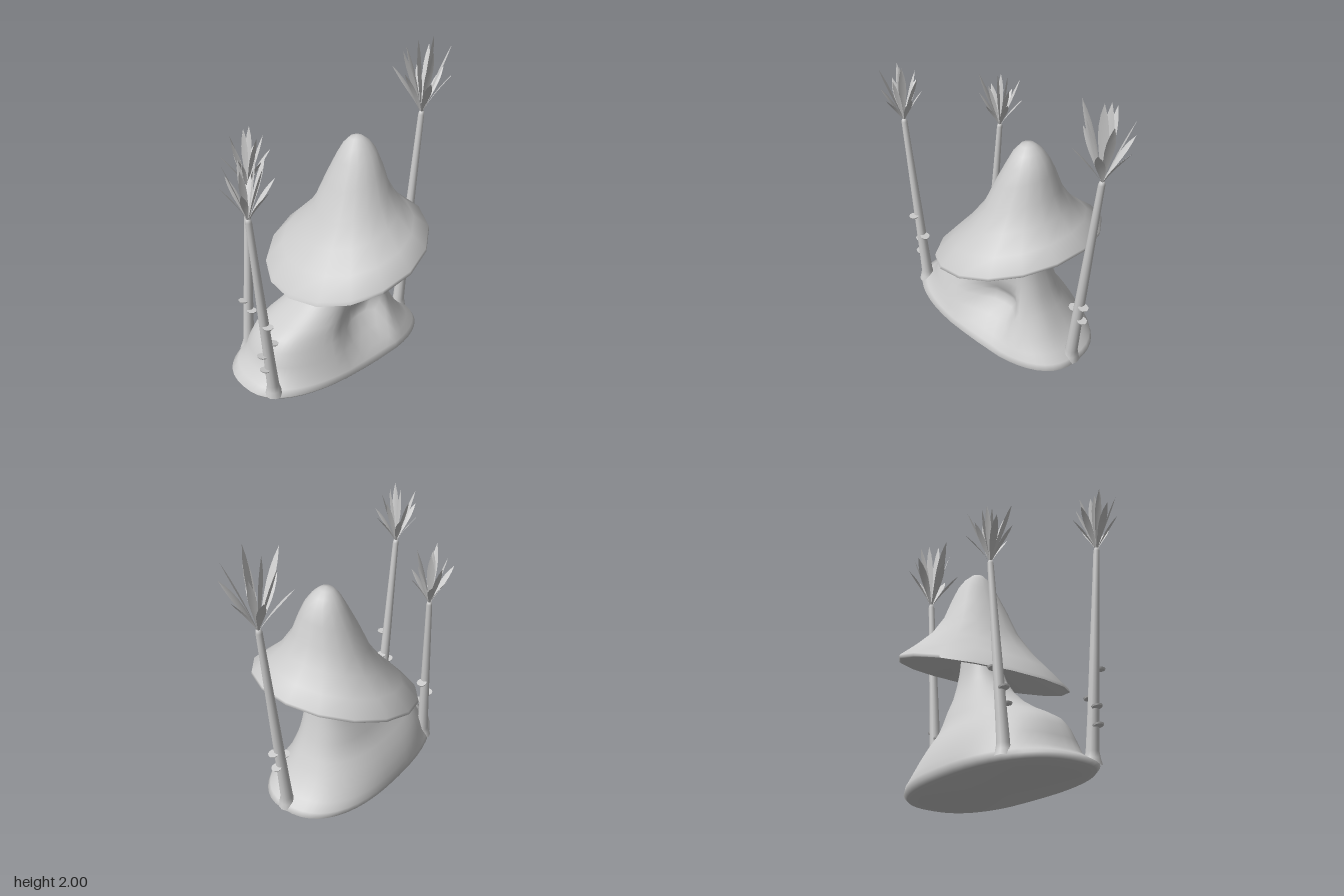
import * as THREE from 'three';
import { toCreasedNormals } from 'three/addons/utils/BufferGeometryUtils.js';

const grey = new THREE.MeshStandardMaterial({ color: 0xcccccc });
const greyThin = new THREE.MeshStandardMaterial({ color: 0xcccccc, side: THREE.DoubleSide });

// Skin a stack of closed rings, each [leftX, leftY, rightX, rightY, frontZ, backZ, centreZ].
function loft(rings, sides, { power = 1, turn = 0, adjust = null } = {}) {
  const pos = [], index = [];
  rings.forEach(([lx, ly, rx, ry, front, back, cz = 0], i) => {
    for (let j = 0; j < sides; j++) {
      const a = turn + (j / sides) * Math.PI * 2;
      const c = Math.sign(Math.cos(a)) * Math.abs(Math.cos(a)) ** power;
      const s = Math.sign(Math.sin(a)) * Math.abs(Math.sin(a)) ** power;
      const p = new THREE.Vector3(
        (lx + rx) / 2 + ((rx - lx) / 2) * c,
        (ly + ry) / 2 + ((ry - ly) / 2) * c,
        cz + s * (s > 0 ? front : back));
      if (adjust) adjust(p, s);
      pos.push(p.x, p.y, p.z);
      if (i < rings.length - 1) {
        const k = (j + 1) % sides, o = i * sides, n = o + sides;
        index.push(o + j, n + j, o + k, o + k, n + j, n + k);
      }
    }
  });
  const g = new THREE.BufferGeometry();
  g.setAttribute('position', new THREE.Float32BufferAttribute(pos, 3));
  g.setIndex(index);
  g.computeVertexNormals();
  return g;
}

function mesh(name, geometry, material = grey) {
  const m = new THREE.Mesh(geometry, material);
  m.name = name;
  return m;
}

// Leaning stalk on a wide foot, with a sharp-sided hollow pressed into the front.
function makeStalk() {
  const rings = [
    [-0.05, 0.005, -0.05, 0.005, 0, 0],
    [-0.64, 0.02, 0.54, 0.02, 0.27, 0.33],
    [-0.72, 0.035, 0.61, 0.03, 0.33, 0.39],
    [-0.74, 0.06, 0.63, 0.05, 0.35, 0.41],
    [-0.69, 0.09, 0.61, 0.085, 0.335, 0.41],
    [-0.63, 0.13, 0.55, 0.13, 0.315, 0.4],
    [-0.605, 0.2, 0.485, 0.2, 0.285, 0.38],
    [-0.57, 0.28, 0.435, 0.28, 0.25, 0.34],
    [-0.52, 0.34, 0.4, 0.34, 0.23, 0.3],
    [-0.44, 0.39, 0.375, 0.39, 0.215, 0.265],
    [-0.33, 0.45, 0.35, 0.45, 0.195, 0.235],
    [-0.21, 0.53, 0.325, 0.53, 0.175, 0.2],
    [-0.11, 0.62, 0.3, 0.62, 0.16, 0.155],
    [-0.04, 0.71, 0.285, 0.71, 0.145, 0.125],
    [0.0, 0.8, 0.275, 0.8, 0.13, 0.105],
    [0.03, 0.96, 0.26, 0.96, 0.11, 0.09],
  ];
  const adjust = (p, s) => {
    if (s <= 0) return;
    const across = THREE.MathUtils.smoothstep(p.x, -0.2, 0.08) * (1 - THREE.MathUtils.smoothstep(p.x, 0.17, 0.29));
    const up = Math.exp(-(((p.y - 0.31) / (p.y > 0.31 ? 0.13 : 0.15)) ** 2));
    p.z -= 0.13 * across * up * s;
  };
  return mesh('stalk', loft(rings, 48, { power: 0.82, adjust }));
}

// Tilted bell cap: dished underside, soft rolled rim, rounded crown.
function makeCap() {
  const rings = [
    [0.05, 0.84, 0.25, 0.9, 0.1, 0.1],
    [-0.05, 0.79, 0.35, 0.91, 0.21, 0.21],
    [-0.22, 0.7, 0.48, 0.92, 0.36, 0.36],
    [-0.38, 0.605, 0.57, 0.91, 0.5, 0.505],
    [-0.4, 0.59, 0.59, 0.912, 0.522, 0.527],
    [-0.41, 0.592, 0.6, 0.922, 0.53, 0.535],
    [-0.4, 0.617, 0.595, 0.938, 0.525, 0.53],
    [-0.3, 0.74, 0.5, 1.0, 0.43, 0.43],
    [-0.2, 0.86, 0.42, 1.09, 0.325, 0.325],
    [-0.1, 1.01, 0.36, 1.2, 0.24, 0.24],
    [-0.025, 1.19, 0.325, 1.32, 0.18, 0.18],
    [0.045, 1.34, 0.29, 1.4, 0.128, 0.128],
    [0.085, 1.425, 0.25, 1.45, 0.085, 0.085],
    [0.125, 1.475, 0.21, 1.48, 0.043, 0.043],
    [0.17, 1.49, 0.17, 1.49, 0, 0],
  ];
  return mesh('cap', toCreasedNormals(loft(rings, 16, { turn: -0.085 }), 1.4));
}

// One narrow leaf, rooted at the origin, folded along its middle and bending outwards.
function leafGeometry(length, width, bend) {
  const g = new THREE.PlaneGeometry(1, 1, 2, 7);
  const p = g.attributes.position;
  for (let i = 0; i < p.count; i++) {
    const t = p.getY(i) + 0.5, side = p.getX(i) * 2;
    const half = (width / 2) * (0.15 * (1 - t) + Math.sin(Math.PI * t ** 1.5) ** 0.9);
    p.setXYZ(i, side * half, t * length, bend * t * t + Math.abs(side) * half * 0.15);
  }
  g.computeVertexNormals();
  return g;
}

// Leaves in three whorls: [count, tilt, length, width, bend, turn].
function makeCrown(scale, turn) {
  const crown = new THREE.Group();
  crown.name = 'crown';
  const whorls = [
    [6, 0.4, 0.33, 0.05, 0.055, 0.2],
    [5, 0.27, 0.45, 0.045, 0.03, 0.6],
    [2, 0.07, 0.49, 0.055, 0.01, 0.0],
  ];
  for (const [count, tilt, length, width, bend, start] of whorls) {
    const geometry = leafGeometry(length, width, bend);
    for (let i = 0; i < count; i++) {
      const leaf = mesh('leaf', geometry, greyThin);
      const wobble = Math.sin(i * 2.7 + turn);
      leaf.rotation.order = 'YXZ';
      leaf.rotation.set(tilt + 0.06 * wobble, turn + start + (i / count) * Math.PI * 2, 0);
      leaf.scale.setScalar(1 + 0.06 * Math.cos(i * 1.9 + turn));
      crown.add(leaf);
    }
  }
  crown.scale.setScalar(scale);
  return crown;
}

// Slender tree: flared leaning trunk, a few bracket discs, and a crown of leaves.
function makeTree({ name, foot, top, thick, crown, turn, discs }) {
  const tree = new THREE.Group();
  tree.name = name;
  const a = new THREE.Vector3(...foot), b = new THREE.Vector3(...top);
  const steps = [[0, 1.7], [0.03, 1.35], [0.06, 1.1], [0.2, 0.98], [0.5, 0.82], [0.8, 0.64], [0.985, 0.55], [1, 0.4], [1, 0]];
  const rings = steps.map(([t, k]) => {
    const c = a.clone().lerp(b, t), r = thick * k;
    return [c.x - r, c.y, c.x + r, c.y, r, r, c.z];
  });
  tree.add(mesh('trunk', loft(rings, 12)));

  for (const [y, angle] of discs) {
    const c = a.clone().lerp(b, (y - a.y) / (b.y - a.y));
    const disc = mesh('bracketDisc', new THREE.CylinderGeometry(0.032, 0.028, 0.009, 10));
    disc.position.set(c.x + Math.cos(angle) * 0.04, y, c.z + Math.sin(angle) * 0.04);
    disc.rotation.z = -0.2 * Math.abs(Math.cos(angle));
    tree.add(disc);
  }

  const leaves = makeCrown(crown, turn);
  leaves.position.copy(b).y -= 0.015;
  tree.add(leaves);
  return tree;
}

export function createModel() {
  const model = new THREE.Group();
  model.name = 'mushroomWithTrees';
  model.add(makeStalk(), makeCap());

  const trees = [
    { name: 'leftTree', foot: [0.578, 0.05, 0], top: [0.72, 1.5, 0], thick: 0.036, crown: 1, turn: 0.3,
      discs: [[0.43, 0.1], [0.49, Math.PI], [0.55, 0.3]] },
    { name: 'rightTree', foot: [-0.632, 0.06, 0.17], top: [-0.755, 1.32, 0.175], thick: 0.034, crown: 0.8, turn: 1.1,
      discs: [[0.27, Math.PI], [0.37, 3.4], [0.44, 0.1], [0.6, 1.6]] },
    { name: 'backTree', foot: [-0.49, 0.06, -0.3], top: [-0.41, 1.22, -0.33], thick: 0.033, crown: 0.79, turn: 2.0,
      discs: [[0.36, 1.6], [0.43, Math.PI], [0.57, 0]] },
  ];
  trees.forEach((t) => model.add(makeTree(t)));
  return model;
}
